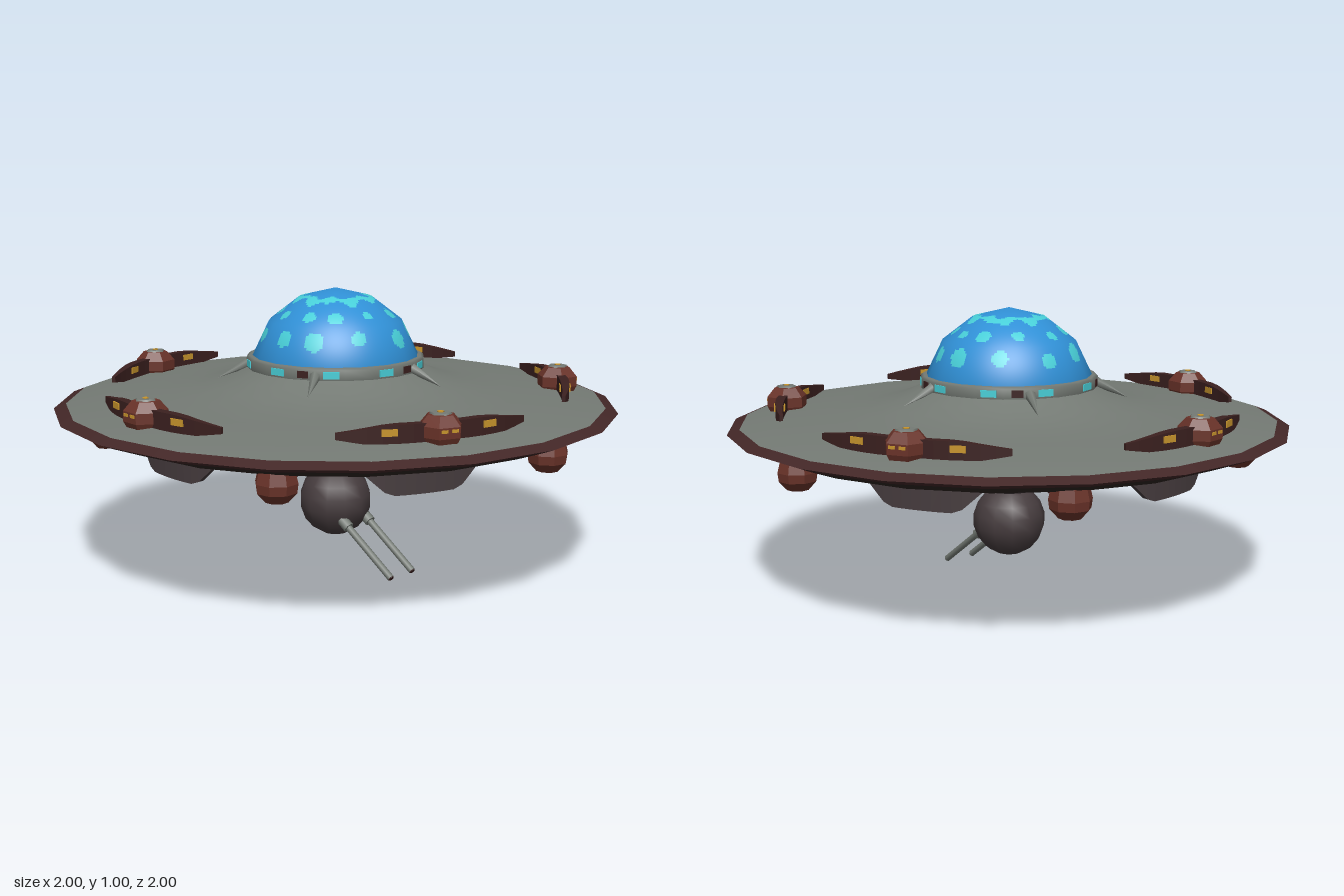
import * as THREE from 'three';

const mat = (name, color, extra = {}) => {
  const m = new THREE.MeshStandardMaterial({ color, ...extra });
  m.name = name;
  return m;
};
const D2R = Math.PI / 180;
const TWIST = -4 * D2R; // hull facets are slightly turned
const UPPER = -5, LOWER = 31; // first angle of the two five-fold rings, degrees

export function createModel() {
  const grey = mat('hullGrey', 0x747a74);
  const rimBrown = mat('rimBrown', 0x432727);
  const belly = mat('bellyDark', 0x2e2421);
  const gunmetal = mat('gunmetal', 0x463c3e);
  const podBrown = mat('podBrown', 0x6a3329, { flatShading: true });
  const wingBrown = mat('wingBrown', 0x3b201f, { flatShading: true });
  const yellow = mat('lampYellow', 0xc8952c);
  const blue = mat('domeBlue', 0x3090d6);
  const cyan = mat('domeCyan', 0x48cfd8);

  const root = new THREE.Group();
  root.name = 'saucer';

  const add = (parent, name, geo, material, x = 0, y = 0, z = 0) => {
    const m = new THREE.Mesh(geo, material);
    m.name = name;
    m.position.set(x, y, z);
    parent.add(m);
    return m;
  };
  const lathe = (pts, sides = 20, start = TWIST) =>
    new THREE.LatheGeometry(pts.map(p => new THREE.Vector2(...p)), sides, start);
  // five copies around y; inside each group +z points outwards
  const ring = (name, first, build) => {
    for (let k = 0; k < 5; k++) {
      const g = new THREE.Group();
      g.name = name + (k + 1);
      g.rotation.y = (first + 72 * k) * D2R;
      build(g);
      root.add(g);
    }
  };
  // curved bar around y; section(t) gives [rIn, rOut, yBottom, yTop] for t in -1..1
  const arcBar = (half, n, section) => {
    const pos = [], idx = [];
    for (let i = 0; i <= n; i++) {
      const t = (2 * i) / n - 1, a = t * half * D2R;
      const [r0, r1, y0, y1] = section(t);
      for (const [r, y] of [[r0, y0], [r1, y0], [r1, y1], [r0, y1]])
        pos.push(r * Math.sin(a), y, r * Math.cos(a));
      if (i === n) break;
      for (let c = 0; c < 4; c++) {
        const p = i * 4 + c, q = i * 4 + ((c + 1) % 4);
        idx.push(p, p + 4, q + 4, p, q + 4, q);
      }
    }
    const e = n * 4;
    idx.push(0, 1, 2, 0, 2, 3, e, e + 2, e + 1, e, e + 3, e + 2);
    const g = new THREE.BufferGeometry();
    g.setAttribute('position', new THREE.Float32BufferAttribute(pos, 3));
    g.setIndex(idx);
    const flat = g.toNonIndexed();
    flat.computeVertexNormals();
    return flat;
  };

  // hull
  add(root, 'hullTop', lathe([[0.957, 0.607], [0.82, 0.63], [0.65, 0.642], [0.53, 0.655],
    [0.44, 0.674], [0.37, 0.7], [0.31, 0.73]]), grey);
  add(root, 'rimTop', lathe([[1, 0.59], [0.957, 0.607]]), rimBrown);
  add(root, 'rimBottom', lathe([[0.95, 0.57], [1, 0.59]]), rimBrown);
  add(root, 'hullBottom', lathe([[0.2, 0.505], [0.7, 0.507], [0.85, 0.533], [0.95, 0.57]]), belly);

  // collar with small windows
  add(root, 'collar', lathe([[0.31, 0.723], [0.318, 0.727], [0.318, 0.762], [0.308, 0.768], [0.29, 0.768]]), grey);
  for (let k = 0; k < 20; k++) {
    if (k % 4 === 3) continue;
    const a = TWIST + (k + 0.5) * 18 * D2R;
    const w = add(root, 'collarWindow', new THREE.BoxGeometry(k % 2 ? 0.04 : 0.055, 0.024, 0.006),
      k % 2 ? wingBrown : cyan, 0.3145 * Math.sin(a), 0.745, 0.3145 * Math.cos(a));
    w.rotation.y = a;
  }

  // spotted dome: faceted profile, finely divided so that the spots can be painted on faces
  const SIDES = 18, SUB = 10, ROWS = 16;
  const prof = [[0.298, 0.765], [0.238, 0.89], [0.13, 0.973], [0, 1.005]];
  const domePoint = (u, v) => {
    const s = Math.min(2, Math.floor(v / ROWS)), f = v / ROWS - s;
    const r = THREE.MathUtils.lerp(prof[s][0], prof[s + 1][0], f);
    const y = THREE.MathUtils.lerp(prof[s][1], prof[s + 1][1], f);
    const k = Math.floor(u / SUB), g = u / SUB - k, st = (2 * Math.PI) / SIDES;
    const a = k * st, b = a + st;
    return new THREE.Vector3(r * THREE.MathUtils.lerp(Math.sin(a), Math.sin(b), g), y,
      r * THREE.MathUtils.lerp(Math.cos(a), Math.cos(b), g));
  };
  const spots = [];
  for (const [n, r, y, size, off] of [[11, 0.255, 0.85, 0.031, 0], [11, 0.195, 0.922, 0.024, 0.5]])
    for (let k = 0; k < n; k++) {
      const a = ((k + off) / n) * 2 * Math.PI + 0.1 * Math.sin(k * 5);
      spots.push([new THREE.Vector3(r * Math.sin(a), y + 0.009 * Math.sin(k * 3.7), r * Math.cos(a)),
        size * (1 + 0.15 * Math.sin(k * 2.3))]);
    }
  const painted = p => {
    const a = Math.atan2(p.x, p.z), r = Math.hypot(p.x, p.z);
    const mid = 0.122 + 0.01 * Math.sin(a * 7);
    if (Math.abs(r - mid) < 0.018 + 0.007 * Math.sin(a * 11 + 1)) return true;
    return spots.some(([c, s]) => c.distanceTo(p) < s);
  };
  const faces = [[], []];
  for (let u = 0; u < SIDES * SUB; u++)
    for (let v = 0; v < ROWS * 3; v++) {
      const a = domePoint(u, v), b = domePoint(u + 1, v), c = domePoint(u + 1, v + 1), d = domePoint(u, v + 1);
      const centre = a.clone().add(c).multiplyScalar(0.5);
      faces[painted(centre) ? 1 : 0].push(a, b, c, a, c, d);
    }
  ['dome', 'domeSpots'].forEach((name, i) => {
    const g = new THREE.BufferGeometry().setFromPoints(faces[i]);
    const normals = faces[i].flatMap(p =>
      new THREE.Vector3(p.x / 0.09, (p.y - 0.74) / 0.07, p.z / 0.09).normalize().toArray());
    g.setAttribute('normal', new THREE.Float32BufferAttribute(normals, 3));
    add(root, name, g, i ? cyan : blue);
  });

  // struts leaning on the collar
  ring('strut', LOWER, g => {
    const s = add(g, 'strutSpike', new THREE.ConeGeometry(0.02, 0.13, 6), grey, 0, 0.715, 0.365);
    s.rotation.x = Math.PI / 2 + 0.45;
  });

  // upper pods with curved wings
  ring('upperPod', UPPER, g => {
    add(g, 'wing', arcBar(23.5, 14, t => {
      const k = Math.max(0, (Math.abs(t) - 0.5) / 0.5);
      return [0.798 + 0.016 * k, 0.83 - 0.004 * k, 0.615 + 0.028 * k, 0.685 - 0.022 * k];
    }), wingBrown);
    for (const s of [-1, 1]) {
      const lamp = add(g, 'wingLamp', new THREE.BoxGeometry(0.05, 0.022, 0.038), yellow,
        s * 0.17, 0.662, 0.797);
      lamp.rotation.y = s * 12 * D2R;
    }
    const body = lathe([[0.06, 0.615], [0.073, 0.64], [0.073, 0.675], [0.045, 0.707], [0, 0.71]], 6, Math.PI / 6);
    add(g, 'podBody', body, podBrown, 0, 0, 0.812).rotation.y = Math.PI / 3;
    add(g, 'podCap', new THREE.CylinderGeometry(0.033, 0.036, 0.006, 6), grey, 0, 0.71, 0.812);
    add(g, 'podLamp', new THREE.CylinderGeometry(0.011, 0.011, 0.004, 6), yellow, 0, 0.714, 0.812);
    for (const s of [-1, 1])
      add(g, 'podSideLamp', new THREE.BoxGeometry(0.022, 0.01, 0.006), yellow, s * 0.018, 0.664, 0.875);
  });

  // lower pods and glowing spokes
  ring('lowerPod', LOWER, g => {
    const body = lathe([[0, 0.44], [0.038, 0.444], [0.066, 0.475], [0.07, 0.505], [0.06, 0.545]], 8);
    add(g, 'podBody', body, podBrown, 0, 0, 0.82);
    add(g, 'spoke', new THREE.BoxGeometry(0.062, 0.024, 0.5), rimBrown, 0, 0.501, 0.49);
    add(g, 'spokeLight', new THREE.BoxGeometry(0.032, 0.006, 0.4), yellow, 0, 0.487, 0.47);
  });

  // hanging fins
  ring('fin', UPPER, g => {
    add(g, 'finPlate', arcBar(16.5, 12, t => {
      const k = Math.max(0, (Math.abs(t) - 0.6) / 0.4);
      return [0.7, 0.722, 0.432 + 0.074 * k, 0.515];
    }), gunmetal);
  });

  // central hub and turret ball
  add(root, 'hubRing', lathe([[0.19, 0.432], [0.205, 0.432], [0.25, 0.475], [0.255, 0.51]]), rimBrown);
  add(root, 'hubDish', lathe([[0, 0.35], [0.11, 0.35], [0.2, 0.433]]), gunmetal);
  add(root, 'turretBall', new THREE.SphereGeometry(0.132, 12, 9), gunmetal, 0, 0.231, 0);

  // twin guns
  for (const s of [-1, 1]) {
    const gun = new THREE.Group();
    gun.name = s > 0 ? 'frontGun' : 'backGun';
    gun.position.set(0.09, 0.177, s * 0.057);
    gun.rotation.z = -Math.PI / 2 - Math.atan2(0.165, 0.235);
    add(gun, 'barrel', new THREE.CylinderGeometry(0.0125, 0.0125, 0.285, 8), grey, 0, 0.1425, 0);
    add(gun, 'sleeve', new THREE.CylinderGeometry(0.02, 0.02, 0.04, 8), grey, 0, 0.018, 0);
    add(gun, 'muzzle', new THREE.CylinderGeometry(0.0105, 0.0105, 0.004, 8), wingBrown, 0, 0.286, 0);
    root.add(gun);
  }
  return root;
}
